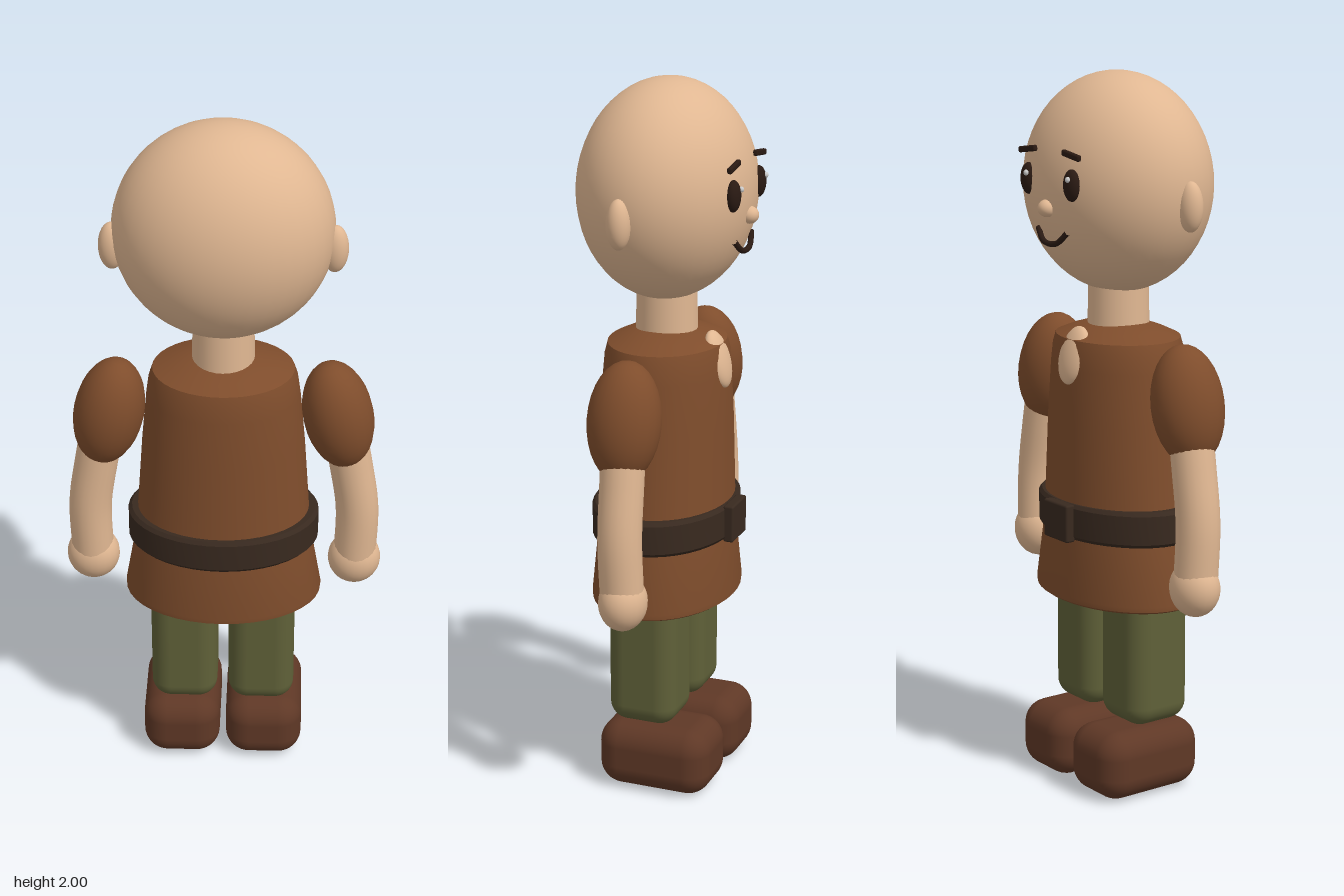
import * as THREE from 'three';
import { RoundedBoxGeometry } from 'three/addons/geometries/RoundedBoxGeometry.js';
import { toCreasedNormals } from 'three/addons/utils/BufferGeometryUtils.js';

const mat = (color) => new THREE.MeshStandardMaterial({ color });

export function createModel() {
  const skin = mat(0xe0b792), cloth = mat(0x7f4d2c), leather = mat(0x38291f);
  const trousers = mat(0x5f6038), shoeMat = mat(0x5f3826), ink = mat(0x2a1a13), white = mat(0xffffff);
  const model = new THREE.Group();
  model.name = 'figure';

  const add = (name, geometry, material, x = 0, y = 0, z = 0) => {
    const mesh = new THREE.Mesh(geometry, material);
    mesh.name = name;
    mesh.position.set(x, y, z);
    model.add(mesh);
    return mesh;
  };
  const ellipsoid = (rx, ry, rz, w = 24, h = 16) => new THREE.SphereGeometry(1, w, h).scale(rx, ry, rz);

  // Lathe squashed front to back; depth(y) gives the z to x ratio
  const ovalLathe = (profile, depth) => {
    const g = new THREE.LatheGeometry(profile.map(([r, y]) => new THREE.Vector2(r, y)), 40);
    const p = g.attributes.position;
    for (let i = 0; i < p.count; i++) p.setZ(i, p.getZ(i) * depth(p.getY(i)));
    return toCreasedNormals(g, 0.6);
  };

  // Head and neck
  add('head', ellipsoid(0.295, 0.3, 0.239, 40, 28), skin, 0, 1.7, 0.009);
  add('neck', new THREE.CylinderGeometry(0.082, 0.086, 0.2, 28), skin, 0, 1.38, 0.012);
  add('nose', ellipsoid(0.026, 0.024, 0.026), skin, 0, 1.645, -0.224);

  // Smile
  const smile = new THREE.CatmullRomCurve3([
    new THREE.Vector3(-0.068, 1.585, -0.206),
    new THREE.Vector3(-0.03, 1.553, -0.215),
    new THREE.Vector3(0.03, 1.553, -0.215),
    new THREE.Vector3(0.068, 1.585, -0.206),
  ]);
  add('mouth', new THREE.TubeGeometry(smile, 20, 0.008, 8), ink);

  // Tunic with a flared hem and an open collar
  add('tunic', ovalLathe([
    [0, 0.545], [0.265, 0.545], [0.278, 0.552], [0.279, 0.566], [0.252, 0.72], [0.24, 0.84],
    [0.225, 1.05], [0.211, 1.2], [0.204, 1.25], [0.194, 1.28], [0.15, 1.297], [0.08, 1.318], [0, 1.32],
  ], (y) => THREE.MathUtils.mapLinear(y, 0.545, 1.32, 0.71, 0.83)), cloth, 0, 0, 0.01);
  add('collarOpening', ellipsoid(0.056, 0.082, 0.028), skin, 0, 1.235, -0.138).rotation.x = 0.3;

  // Belt and buckle
  add('belt', ovalLathe([
    [0.225, 0.73], [0.258, 0.73], [0.268, 0.74], [0.268, 0.82], [0.258, 0.83], [0.225, 0.83],
  ], () => 0.735), leather, 0, 0, 0.012);
  add('buckle', new RoundedBoxGeometry(0.11, 0.106, 0.03, 2, 0.006), leather, 0, 0.778, -0.19);

  // Paired parts
  for (const s of [-1, 1]) {
    const side = s > 0 ? 'left' : 'right';

    // Face
    add(side + 'Ear', ellipsoid(0.036, 0.068, 0.033), skin, s * 0.293, 1.66, 0.032);
    add(side + 'Eye', ellipsoid(0.028, 0.043, 0.02), ink, s * 0.1, 1.715, -0.214);
    add(side + 'EyeHighlight', ellipsoid(0.008, 0.008, 0.007, 12, 8), white, s * 0.097 - 0.01, 1.732, -0.232);
    add(side + 'Brow', new RoundedBoxGeometry(0.077, 0.017, 0.014, 2, 0.005), ink, s * 0.101, 1.794, -0.216)
      .rotation.z = -s * 0.14;

    // Arm
    add(side + 'Sleeve', ellipsoid(0.097, 0.164, 0.101), cloth, s * 0.315, 1.133, 0.01).rotation.z = s * 0.2;
    const path = new THREE.CatmullRomCurve3([
      new THREE.Vector3(s * 0.32, 1.15, 0.005),
      new THREE.Vector3(s * 0.354, 0.97, 0.002),
      new THREE.Vector3(s * 0.376, 0.82, 0),
      new THREE.Vector3(s * 0.374, 0.65, -0.005),
    ]);
    add(side + 'Arm', new THREE.TubeGeometry(path, 24, 0.06, 20), skin);
    add(side + 'Hand', ellipsoid(0.075, 0.079, 0.066), skin, s * 0.373, 0.642, -0.007);

    // Leg and shoe
    add(side + 'Leg', new RoundedBoxGeometry(0.19, 0.42, 0.2, 5, 0.055), trousers, s * 0.111, 0.405, 0.02);
    add(side + 'Shoe', new RoundedBoxGeometry(0.222, 0.195, 0.33, 5, 0.068), shoeMat, s * 0.12, 0.102, -0.02);
  }

  // Rest the soles on the ground
  model.children.forEach((m) => { if (m.name.endsWith('Shoe')) m.position.y = 0.0975; });
  return model;
}
